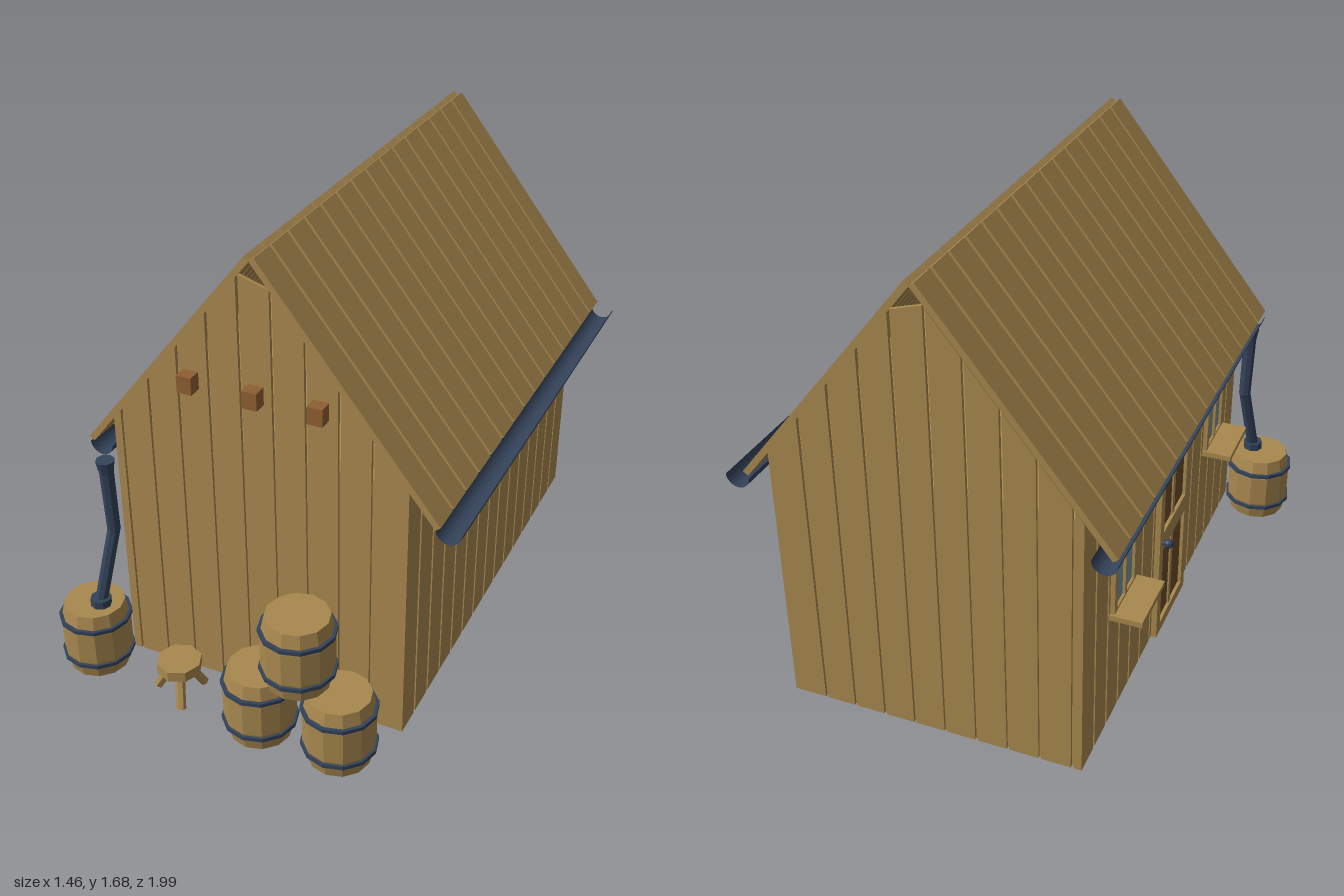
import * as THREE from 'three';

const mat = (color, extra = {}) => {
  const m = new THREE.MeshStandardMaterial({ flatShading: true, ...extra });
  m.color.set(color);
  return m;
};

export function createModel() {
  const wood = mat(0xa9884f), beam = mat(0x8f5f33), panel = mat(0x6e4c2a);
  const metal = mat(0x34435a), glass = mat(0x7397a0);
  const gutterMetal = mat(0x34435a, { side: THREE.DoubleSide });
  const model = new THREE.Group();

  const group = (name, parent = model) => {
    const g = new THREE.Group();
    g.name = name;
    parent.add(g);
    return g;
  };
  const add = (name, geo, material, parent = model) => {
    const m = new THREE.Mesh(geo, material);
    m.name = name;
    parent.add(m);
    return m;
  };
  // Box given by its limits on each axis
  const box = (name, [x0, x1], [y0, y1], [z0, z1], material, parent) => {
    const m = add(name, new THREE.BoxGeometry(x1 - x0, y1 - y0, z1 - z0), material, parent);
    m.position.set((x0 + x1) / 2, (y0 + y1) / 2, (z0 + z1) / 2);
    return m;
  };
  // Round bar between two points
  const rod = (name, a, b, ra, rb, material, parent, sides = 8) => {
    const A = new THREE.Vector3(...a), B = new THREE.Vector3(...b);
    const d = B.clone().sub(A);
    const m = add(name, new THREE.CylinderGeometry(rb, ra, d.length(), sides), material, parent);
    m.position.copy(A).add(B).multiplyScalar(0.5);
    m.quaternion.setFromUnitVectors(new THREE.Vector3(0, 1, 0), d.normalize());
    return m;
  };

  const midX = 0.04, left = -0.48, right = 0.56, base = 0.06, front = 0.695, back = -1;
  const pitch = 0.1136, boardW = 0.101, count = 15;

  // Closed core behind the boards, with the floor
  box('wallCore', [left + 0.01, right - 0.01], [base, 1.02], [back + 0.01, front - 0.01], wood);

  // Side walls and roof share the same board spacing
  const sides = group('sideWalls'), roof = group('roof');
  const slope = Math.atan2(0.765, 0.607), roofLen = Math.hypot(0.765, 0.607), thick = 0.022;
  for (let i = 0; i < count; i++) {
    const z1 = front - i * pitch, z = [z1 - boardW, z1];
    box('sideBoard', [right - 0.012, right], [base, 1.04], z, wood, sides);
    box('sideBoard', [left, left + 0.012], [base, 1.04], z, wood, sides);
    for (const s of [1, -1]) {
      const r = add('roofBoard', new THREE.BoxGeometry(roofLen, thick, boardW), wood, roof);
      r.position.set(
        midX + s * (0.32 - Math.sin(slope) * thick / 2),
        1.3 - Math.cos(slope) * thick / 2, z1 - boardW / 2);
      r.rotation.z = -s * slope;
    }
  }

  // Gable walls: upright boards cut to the roof line
  const roofY = x => Math.min(1.62, 1.669 - 1.26 * Math.abs(x - midX));
  for (const [name, z] of [['frontGable', front - 0.012], ['backGable', back]]) {
    const gable = group(name);
    for (let i = -5; i <= 4; i++) {
      const c = 0.052 + i * 0.111;
      const x0 = Math.max(left, c - 0.051), x1 = i === 4 ? right : c + 0.051;
      if (x1 - x0 < 0.01) continue;
      const s = new THREE.Shape();
      s.moveTo(x0, base);
      s.lineTo(x1, base);
      s.lineTo(x1, roofY(x1));
      s.lineTo(x0, roofY(x0));
      const g = new THREE.ExtrudeGeometry(s, { depth: 0.012, bevelEnabled: false });
      add('gableBoard', g, wood, gable).position.z = z;
    }
  }

  // Beam ends on the front
  for (const x of [-0.177, 0.05, 0.27])
    box('beamEnd', [x - 0.026, x + 0.026], [1.2, 1.26], [front - 0.02, 0.742], beam);

  // Half-round gutters
  for (const [x, z1] of [[0.685, 0.68], [-0.543, 0.69]]) {
    const g = new THREE.CylinderGeometry(0.042, 0.042, z1 - back, 12, 1, true, -Math.PI / 2, Math.PI);
    g.rotateX(Math.PI / 2);
    add('gutter', g, gutterMetal).position.set(x, 0.895, (z1 + back) / 2);
  }

  // Door on the right-hand wall
  const door = group('door'), doorZ = -0.135;
  const dx = left - 0.02;
  box('doorPanel', [left - 0.008, left], [base, 0.88], [doorZ - 0.15, doorZ + 0.15], panel, door);
  for (const s of [-1, 1]) {
    const z = doorZ + s * 0.145;
    box('doorPost', [dx, left], [base, 0.88], [z - 0.02, z + 0.02], wood, door);
  }
  box('doorMullion', [left - 0.014, left], [base, 0.88], [doorZ - 0.012, doorZ + 0.012], wood, door);
  for (const [y, h] of [[0.08, 0.04], [0.46, 0.07], [0.86, 0.05]])
    box('doorRail', [dx, left], [y - h / 2, y + h / 2], [doorZ - 0.16, doorZ + 0.16], wood, door);
  box('doorLintel', [left - 0.04, left], [0.84, 0.88], [doorZ - 0.18, doorZ + 0.18], wood, door);
  const knobZ = doorZ - 0.135;
  rod('knobStem', [dx, 0.46, knobZ], [dx - 0.02, 0.46, knobZ], 0.008, 0.008, metal, door);
  add('knob', new THREE.SphereGeometry(0.017, 8, 6), metal, door).position.set(dx - 0.022, 0.46, knobZ);

  // Windows with sills on either side of the door
  for (const z of [doorZ - 0.515, doorZ + 0.515]) {
    const w = group('window');
    box('glass', [left - 0.006, left], [0.5, 0.86], [z - 0.1, z + 0.1], glass, w);
    for (const [dz, t] of [[-0.095, 0.012], [0, 0.007], [0.095, 0.012]])
      box('upright', [left - 0.016, left], [0.5, 0.86], [z + dz - t, z + dz + t], wood, w);
    for (const y of [0.51, 0.68, 0.85])
      box('crossBar', [left - 0.015, left], [y - 0.009, y + 0.009], [z - 0.1, z + 0.1], wood, w);
    box('sill', [-0.59, left], [0.49, 0.51], [z - 0.115, z + 0.115], wood, w);
  }

  // Barrels with two hoops each
  const H = 0.262;
  const barrelGeo = new THREE.LatheGeometry(
    [[0, 0], [0.107, 0], [0.122, 0.27], [0.122, 0.73], [0.107, 1], [0, 1]]
      .map(([r, t]) => new THREE.Vector2(r, t * H)), 12);
  const hoopGeo = new THREE.CylinderGeometry(0.129, 0.129, 0.014, 12);
  const barrel = (x, y, z) => {
    const b = group('barrel');
    b.position.set(x, y, z);
    add('staves', barrelGeo, wood, b);
    for (const t of [0.22, 0.79]) add('hoop', hoopGeo, metal, b).position.y = t * H;
  };
  barrel(0.12, 0.053, 0.865);
  barrel(0.41, 0.053, 0.865);
  barrel(0.265, 0.318, 0.865);
  barrel(-0.6, 0, 0.745);

  // Downpipe into the rain barrel
  const pipe = group('downpipe');
  const top = [-0.533, 0.785, 0.693], bend = [-0.531, 0.55, 0.685], end = [-0.565, 0.27, 0.755];
  rod('funnel', top, [-0.533, 0.835, 0.695], 0.025, 0.033, metal, pipe);
  rod('upperPipe', bend, top, 0.023, 0.025, metal, pipe);
  rod('lowerPipe', end, bend, 0.023, 0.023, metal, pipe);
  add('elbow', new THREE.SphereGeometry(0.024, 8, 6), metal, pipe).position.set(...bend);
  rod('flange', [-0.565, 0.255, 0.755], [-0.565, 0.292, 0.755], 0.037, 0.037, metal, pipe);

  // Three-legged stool
  const stool = group('stool');
  const sx = -0.205, sz = 0.835;
  rod('seat', [sx, 0.166, sz], [sx, 0.204, sz], 0.078, 0.078, wood, stool, 8);
  for (const a of [0, 1, 2].map(k => Math.PI + k * Math.PI * 2 / 3)) {
    const c = Math.cos(a), s = Math.sin(a);
    rod('leg', [sx + 0.09 * c, 0.06, sz + 0.09 * s], [sx + 0.025 * c, 0.175, sz + 0.025 * s],
      0.017, 0.017, wood, stool, 6);
  }

  return model;
}
